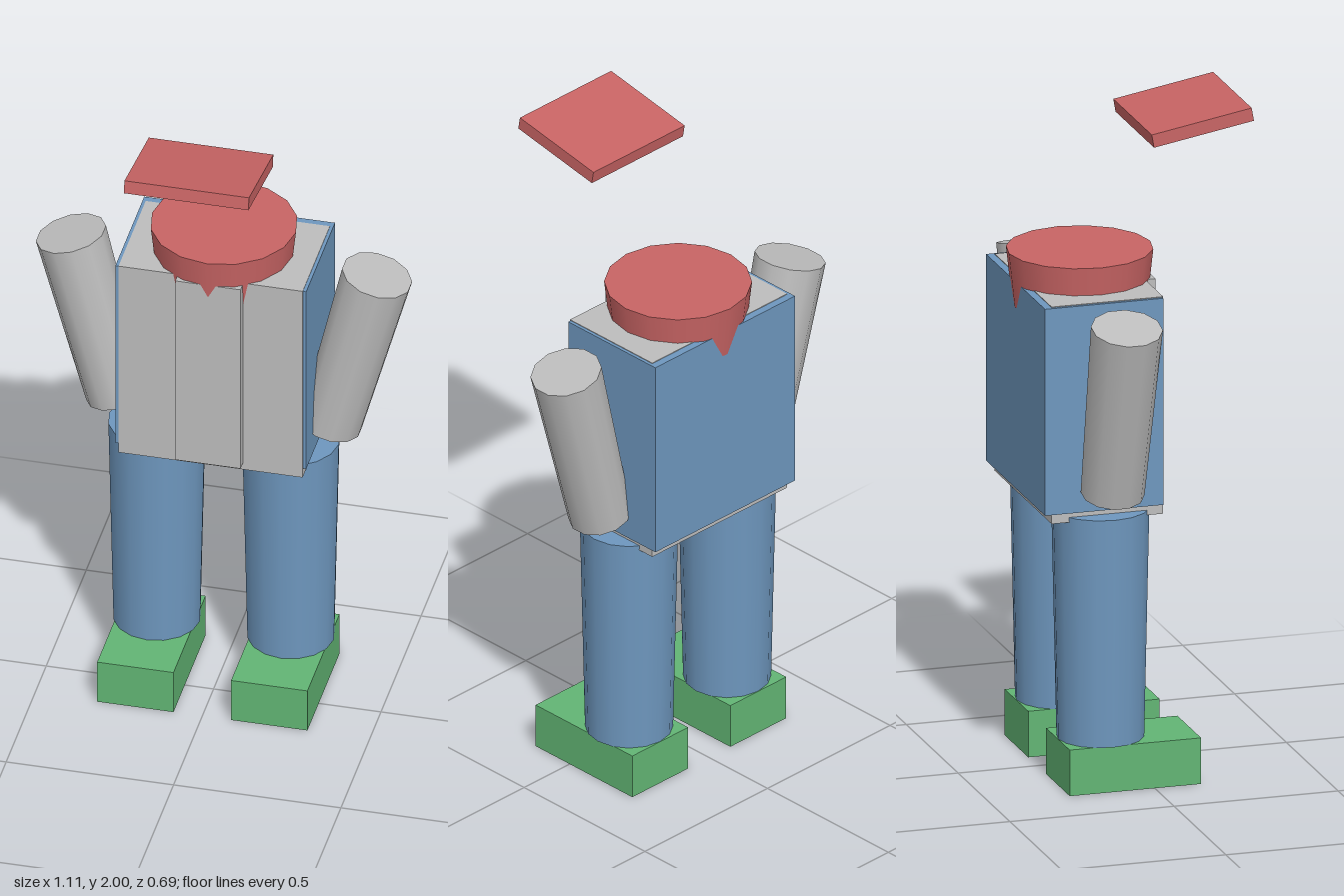
import * as THREE from 'three';

export function createModel() {
  const model = new THREE.Group();
  model.name = 'figure';
  const paint = (name, color) => {
    const m = new THREE.MeshStandardMaterial({ color });
    m.name = name;
    return m;
  };
  const grey = paint('shirt grey', 0xbdbdbd);
  const blue = paint('denim blue', 0x6e97be);
  const green = paint('shoe green', 0x62b574);
  const red = paint('cap red', 0xc86464);

  const add = (name, geometry, material, x, y, z) => {
    const mesh = new THREE.Mesh(geometry, material);
    mesh.name = name;
    mesh.position.set(x, y, z);
    model.add(mesh);
    return mesh;
  };
  const box = (w, h, d) => new THREE.BoxGeometry(w, h, d);
  const axisZ = -0.13; // shared centre line of limbs, torso and cap

  // Torso, open jacket around it and front panel
  add('torso', box(0.55, 0.66, 0.34), grey, 0, 1.15, axisZ - 0.002);
  add('jacket', box(0.57, 0.628, 0.36), blue, 0, 1.164, -0.145);
  add('frontPanel', box(0.195, 0.634, 0.06), grey, 0, 1.162, 0.041);

  // Cap crown, sunk into the torso, and its raised brim
  add('capCrown', new THREE.CylinderGeometry(0.215, 0.197, 0.165, 16), red, 0, 1.4825, axisZ);
  add('capBrim', box(0.372, 0.04, 0.309), red, 0, 1.953, 0.187).rotation.x = -0.175;

  // Limbs, mirrored left and right
  const armGeometry = new THREE.CylinderGeometry(0.105, 0.093, 0.56, 12);
  armGeometry.rotateY(Math.PI / 12);
  const legGeometry = new THREE.CylinderGeometry(0.143, 0.128, 0.695, 16);
  for (const [side, s] of [['left', 1], ['right', -1]]) {
    add(side + 'Arm', armGeometry, grey, s * 0.388, 1.181, axisZ).rotation.z = -s * 0.25;
    add(side + 'Leg', legGeometry, blue, s * 0.2, 0.4875, axisZ);
    add(side + 'Shoe', box(0.228, 0.14, 0.4), green, s * 0.2, 0.07, -0.059);
  }
  return model;
}
